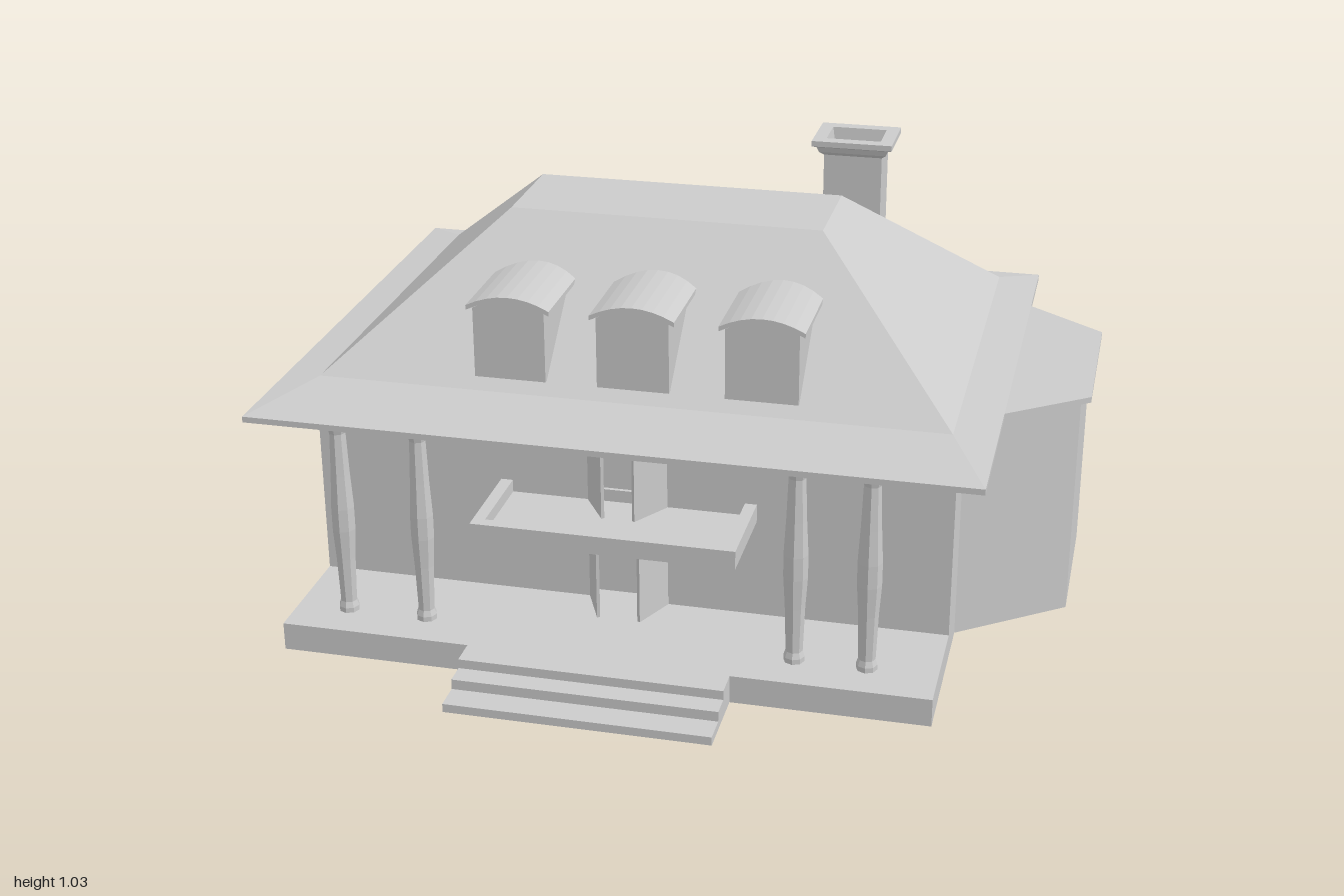
import * as THREE from 'three';

const grey = new THREE.MeshStandardMaterial({ color: 0xcccccc, flatShading: true, side: THREE.DoubleSide });

// Skin a stack of convex cross-sections, each { y, pts: [[x, z], ...] }, with closed ends
function loft(sections) {
  const pos = [];
  const put = (s, i) => pos.push(s.pts[i][0], s.y, s.pts[i][1]);
  const n = sections[0].pts.length;
  for (let k = 0; k + 1 < sections.length; k++) {
    const a = sections[k], b = sections[k + 1];
    for (let i = 0; i < n; i++) {
      const j = (i + 1) % n;
      put(a, i); put(a, j); put(b, j);
      put(a, i); put(b, j); put(b, i);
    }
  }
  const first = sections[0], last = sections[sections.length - 1];
  for (let i = 1; i + 1 < n; i++) {
    put(first, 0); put(first, i + 1); put(first, i);
    put(last, 0); put(last, i); put(last, i + 1);
  }
  const g = new THREE.BufferGeometry();
  g.setAttribute('position', new THREE.Float32BufferAttribute(pos, 3));
  g.computeVertexNormals();
  return g;
}

const rect = (y, x0, x1, z0, z1) => ({ y, pts: [[x0, z1], [x1, z1], [x1, z0], [x0, z0]] });

const polygon = (points) => new THREE.Shape(points.map(([x, y]) => new THREE.Vector2(x, y)));

// Points along a shallow arch from -w to +w
function arch(w, yEnd, yPeak, cx = 0, n = 8) {
  return Array.from({ length: n + 1 }, (_, i) => {
    const t = (i / n) * 2 - 1;
    return [cx + t * w, yPeak - (yPeak - yEnd) * t * t];
  });
}

const extrude = (shape, depth) => new THREE.ExtrudeGeometry(shape, { depth, bevelEnabled: false });

export function createModel() {
  const model = new THREE.Group();
  model.name = 'house';
  const add = (name, geometry, parent = model) => {
    const mesh = new THREE.Mesh(geometry, grey);
    mesh.name = name;
    parent.add(mesh);
    return mesh;
  };
  const block = (name, x0, x1, y0, y1, z0, z1) =>
    add(name, loft([rect(y0, x0, x1, z0, z1), rect(y1, x0, x1, z0, z1)]));

  // Walls, with two door openings in the front
  block('walls', -0.91, 0.71, 0, 0.59, -0.76, 0.29);
  const front = polygon([[-0.91, 0], [0.71, 0], [0.71, 0.59], [-0.91, 0.59]]);
  const doorX = -0.1025, doorW = 0.1025;
  front.holes.push(polygon([[doorX - doorW, 0.07], ...arch(doorW, 0.27, 0.295, doorX), [doorX + doorW, 0.07]]));
  front.holes.push(polygon([[-0.205, 0.35], [-0.205, 0.565], [0, 0.565], [0, 0.35]]));
  add('frontWall', extrude(front, 0.04)).position.z = 0.29;

  // Side bay and its flat roof
  const bay = [[0.7, 0.195], [0.975, -0.01], [0.975, -0.42], [0.7, -0.625]];
  const bayTop = [[0.7, 0.225], [1, 0], [1, -0.44], [0.7, -0.665]];
  add('bay', loft([{ y: 0, pts: bay }, { y: 0.588, pts: bay }]));
  add('bayRoof', loft([{ y: 0.585, pts: bayTop }, { y: 0.6, pts: bayTop }]));

  // Porch and steps
  block('porch', -0.91, 0.71, 0, 0.072, 0.32, 0.64);
  [[0.072, 0.71], [0.048, 0.765], [0.022, 0.835]].forEach(([h, z]) =>
    block('step', -0.43, 0.225, 0, h, 0.62, z));

  // Hipped roof with a shallow flared eave and a flat top
  add('roof', loft([
    rect(0.585, -1, 0.8, -0.84, 0.58),
    rect(0.6, -1, 0.8, -0.84, 0.58),
    rect(0.612, -0.9, 0.695, -0.765, 0.325),
    rect(0.955, -0.51, 0.305, -0.36, -0.075),
  ]));

  // Swelling porch columns
  const profile = [[0.026, 0.07], [0.026, 0.085], [0.021, 0.1], [0.025, 0.22], [0.03, 0.3],
    [0.03, 0.36], [0.025, 0.45], [0.021, 0.56], [0.025, 0.575], [0.025, 0.59]];
  for (const x of [-0.777, -0.572, 0.36, 0.537]) {
    add('column', new THREE.LatheGeometry(profile.map(([r, y]) => new THREE.Vector2(r, y)), 8))
      .position.set(x, 0, 0.53);
  }

  // Balcony tray with a low parapet
  add('balcony', loft([
    rect(0.33, -0.43, 0.225, 0.32, 0.585),
    rect(0.377, -0.43, 0.225, 0.32, 0.585),
    rect(0.377, -0.4, 0.195, 0.33, 0.555),
    rect(0.345, -0.4, 0.195, 0.33, 0.555),
  ]));

  // Open door leaves, mirrored about the doorway; the top rises towards the free edge
  const leaves = (name, y0, yHinge, yFree, dx, dz) => {
    const w = Math.hypot(dx, dz);
    const half = arch(w, yHinge, yFree, w).slice(0, 5);
    for (const s of [-1, 1]) {
      const leaf = add(name, extrude(polygon([[0, y0], ...half, [w, y0]]), 0.008).translate(0, 0, -0.004));
      leaf.position.set(doorX + s * (doorW - 0.004), 0, 0.33);
      leaf.rotation.y = Math.atan2(-dz, -s * dx);
    }
  };
  leaves('doorLeaf', 0.07, 0.27, 0.292, 0.047, 0.105);
  leaves('balconyDoorLeaf', 0.345, 0.563, 0.563, 0.06, 0.095);

  // Arched dormers
  const dormerBody = polygon([[-0.091, 0.64], ...arch(0.091, 0.822, 0.848), [0.091, 0.64]]);
  const dormerRoof = polygon([...arch(0.106, 0.83, 0.858), ...arch(0.106, 0.818, 0.846).reverse()]);
  for (const x of [-0.406, -0.093, 0.228]) {
    const dormer = new THREE.Group();
    dormer.name = 'dormer';
    dormer.position.x = x;
    add('dormerBody', extrude(dormerBody, 0.303), dormer);
    add('dormerRoof', extrude(dormerRoof, 0.31), dormer);
    model.add(dormer);
  }

  // Chimney with a flared, hollow cap
  const stack = (y, g) => rect(y, 0.217 - g, 0.375 + g, -0.712 - g, -0.592 + g);
  add('chimney', loft([
    stack(0.6, 0), stack(0.99, 0), stack(1.0, 0.012), stack(1.015, 0.018),
    stack(1.02, 0.03), stack(1.035, 0.03), stack(1.035, -0.005), stack(0.99, -0.012),
  ]));

  return model;
}
